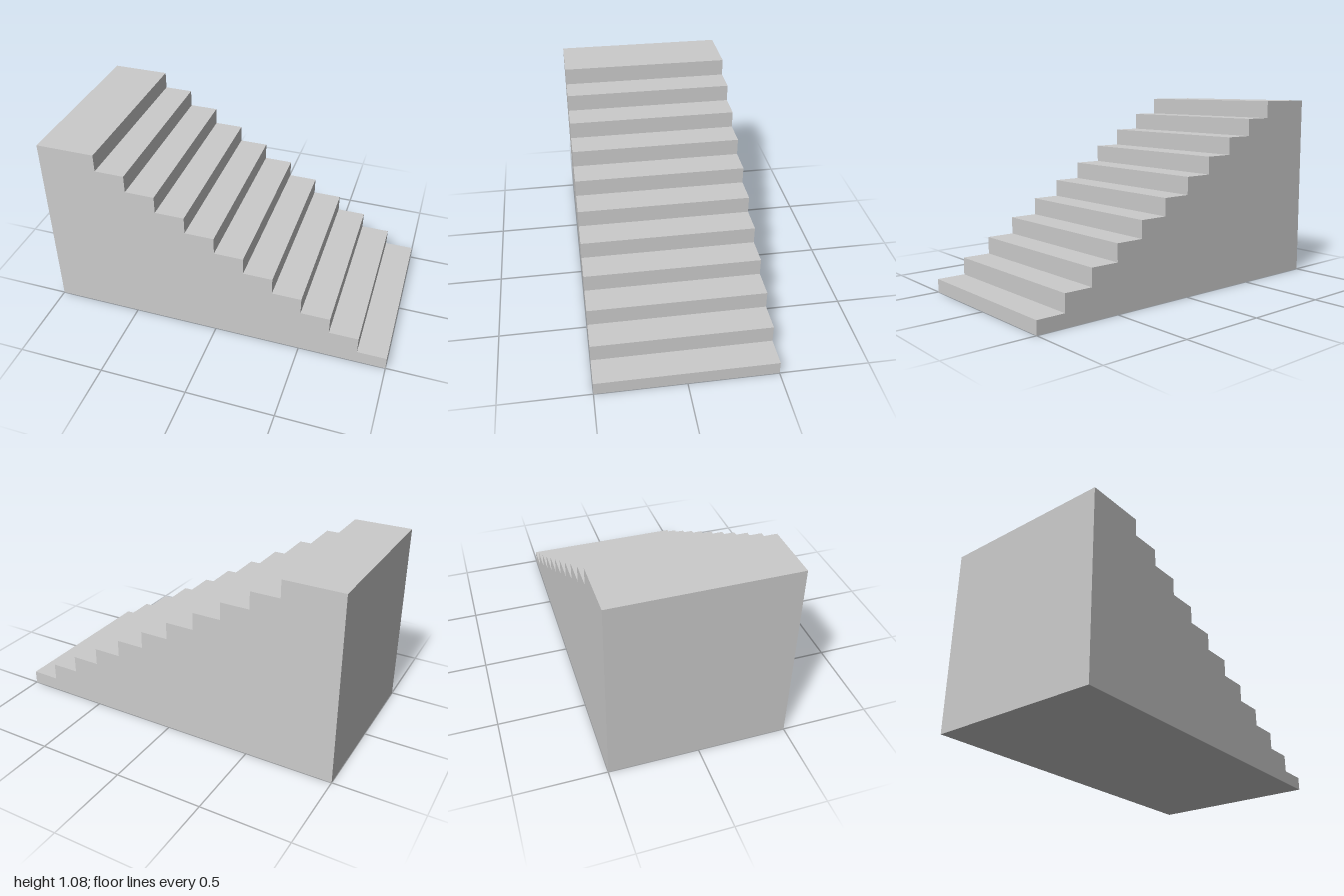
import * as THREE from 'three';

const STEPS = 10;          // treads below the landing
const TREAD = 1 / 6;
const RISER = 0.1;
const FIRST_RISER = 0.076;
const WIDTH = 1;

export function createModel() {
  const group = new THREE.Group();
  group.name = 'staircase';

  // Stepped side profile, climbing from +x to the landing at -x
  const profile = new THREE.Shape();
  profile.moveTo(-1, 0);
  profile.lineTo(1, 0);
  for (let i = 0; i <= STEPS; i++) {
    const y = FIRST_RISER + i * RISER;
    profile.lineTo(1 - i * TREAD, y);
    profile.lineTo(i < STEPS ? 1 - (i + 1) * TREAD : -1, y);
  }
  profile.closePath();

  // Solid flight of stairs, extruded across its width
  const geometry = new THREE.ExtrudeGeometry(profile, { depth: WIDTH, bevelEnabled: false });
  geometry.translate(0, 0, -WIDTH / 2);
  const stairs = new THREE.Mesh(
    geometry,
    new THREE.MeshStandardMaterial({ color: 0xcccccc, flatShading: true })
  );
  stairs.name = 'solidStairs';
  group.add(stairs);
  return group;
}
